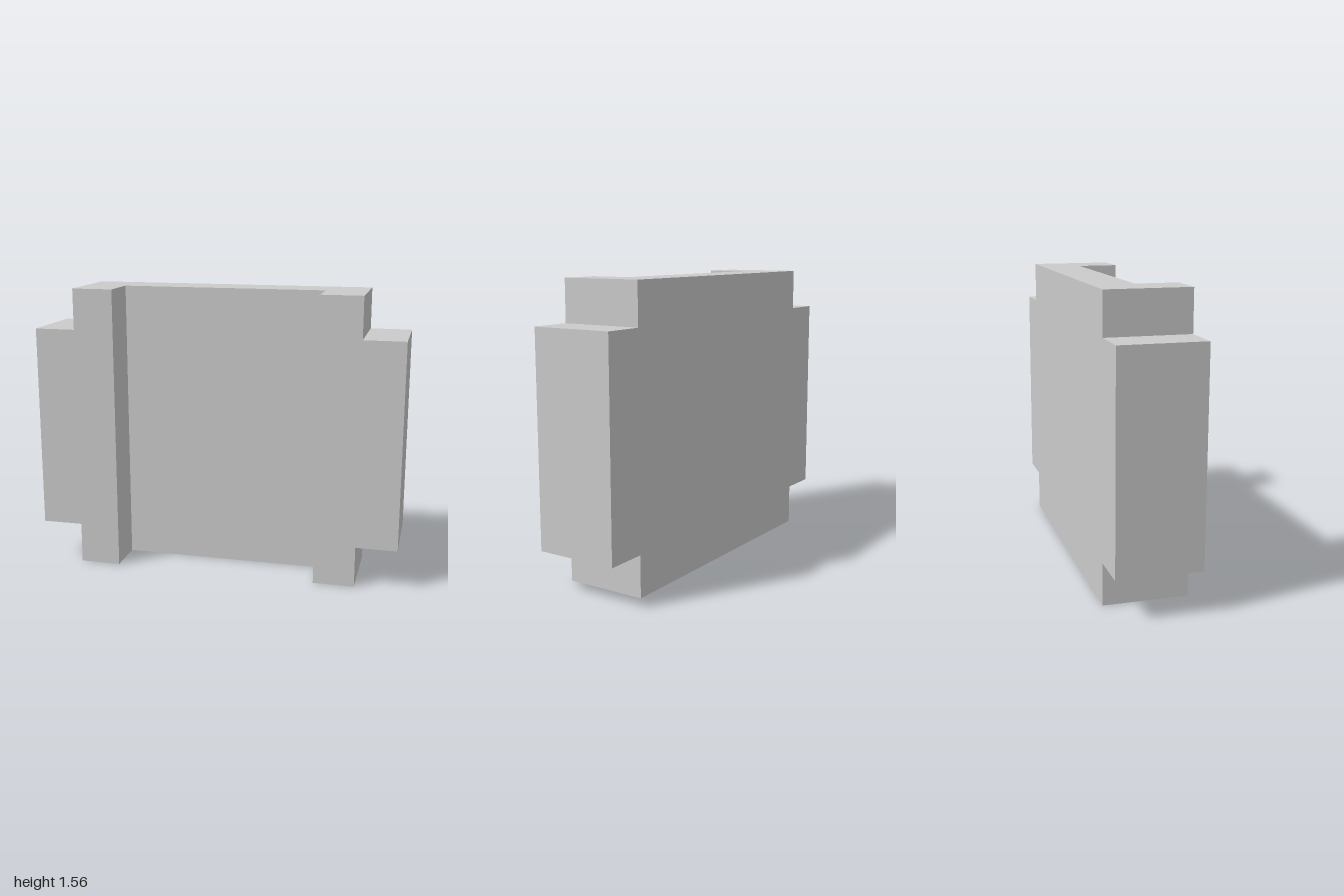
import * as THREE from 'three';

const U = 2 / 9; // module size: the block is 9 x 7 x 2 modules

export function createModel() {
  const group = new THREE.Group();
  group.name = 'steppedChannelBlock';
  const material = new THREE.MeshStandardMaterial({ color: 0xcccccc, flatShading: true });

  // Channel body: C-shaped plan (x, -z) with the recess facing the front, extruded upward
  const plan = new THREE.Shape([
    [-3.5, 1], [-3.5, -1], [-2.5, -1], [-2.5, 0],
    [2.5, 0], [2.5, -1], [3.5, -1], [3.5, 1],
  ].map(([x, y]) => new THREE.Vector2(x * U, y * U)));
  const bodyGeometry = new THREE.ExtrudeGeometry(plan, { depth: 7 * U, bevelEnabled: false });
  bodyGeometry.rotateX(-Math.PI / 2);
  const body = new THREE.Mesh(bodyGeometry, material);
  body.name = 'channelBody';
  group.add(body);

  // Shorter side flanges, one module in from the top and bottom
  for (const [name, side] of [['leftFlange', 1], ['rightFlange', -1]]) {
    const flange = new THREE.Mesh(new THREE.BoxGeometry(U, 5 * U, 2 * U), material);
    flange.name = name;
    flange.position.set(side * 4 * U, 3.5 * U, 0);
    group.add(flange);
  }

  return group;
}
